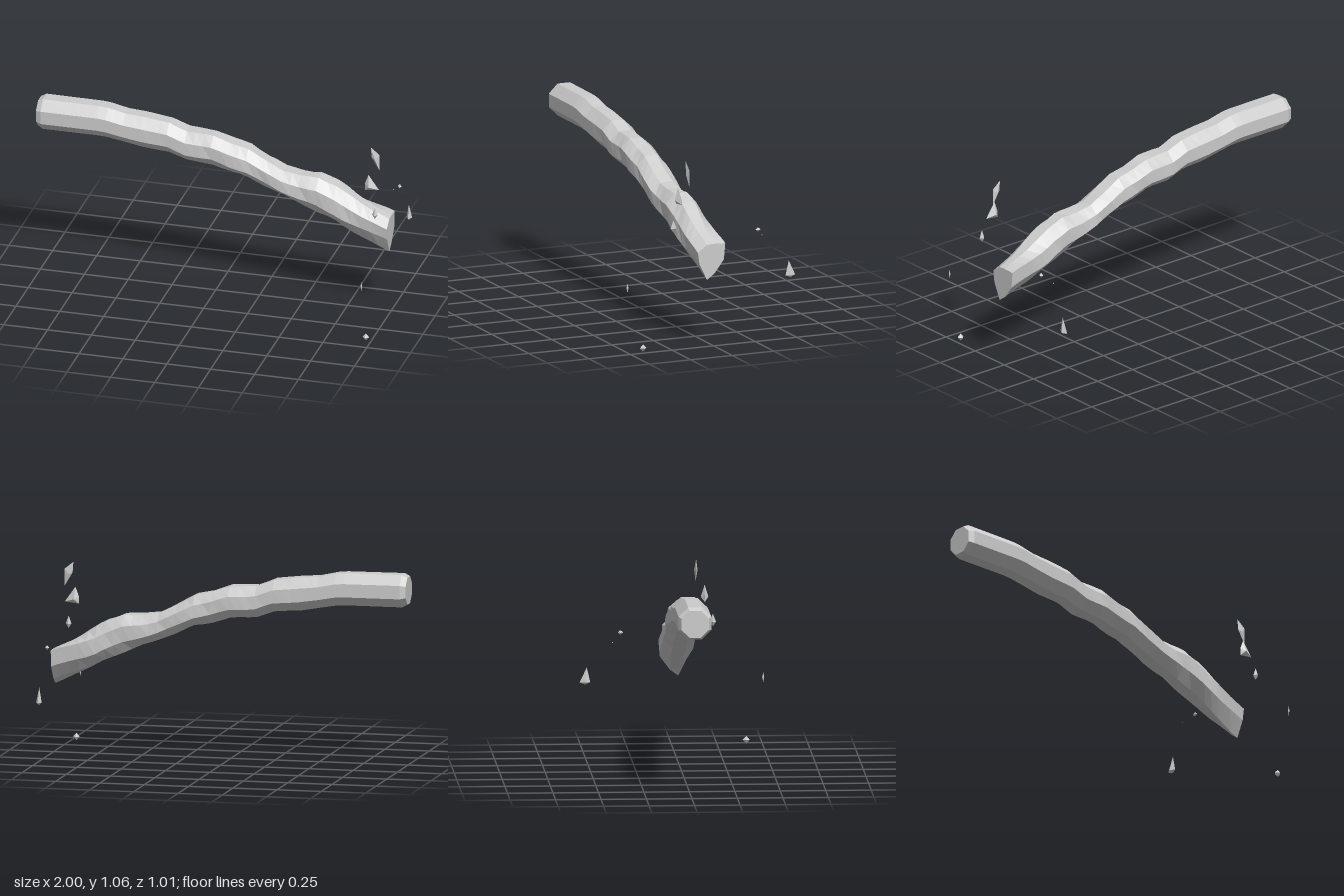
import * as THREE from 'three';
import { ConvexGeometry } from 'three/addons/geometries/ConvexGeometry.js';

const material = new THREE.MeshStandardMaterial({ color: 0xcccccc, flatShading: true });

// side profile of the bar: x, top, bottom
const PROFILE = [
  [-1, 1.045, 0.895], [-0.97, 1.06, 0.88], [-0.62, 1.058, 0.88], [-0.5, 1.032, 0.86],
  [-0.4, 1.025, 0.842], [-0.23, 1.005, 0.83], [-0.17, 0.97, 0.797], [0, 0.962, 0.785],
  [0.1, 0.93, 0.755], [0.2, 0.905, 0.735], [0.3, 0.85, 0.69], [0.4, 0.8, 0.65],
  [0.48, 0.785, 0.62], [0.6, 0.783, 0.57], [0.7, 0.745, 0.53], [0.8, 0.69, 0.475],
  [0.9, 0.625, 0.43], [0.97, 0.605, 0.375], [1, 0.58, 0.38],
];
// pointed broken end, as z, y around the ring
const TIP = [
  [0.095, 0.535], [0.04, 0.575], [0, 0.578], [-0.07, 0.575],
  [-0.062, 0.485], [-0.005, 0.41], [0.04, 0.378], [0.085, 0.47],
];
const SIDES = 8;

function profileAt(x) {
  let i = 0;
  while (i < PROFILE.length - 2 && x > PROFILE[i + 1][0]) i++;
  const [a, b] = [PROFILE[i], PROFILE[i + 1]];
  const t = (x - a[0]) / (b[0] - a[0]);
  return [a[1] + t * (b[1] - a[1]), a[2] + t * (b[2] - a[2])];
}

// octagonal bar whose faces grow rough and twisted toward the broken end
function barGeometry() {
  const xs = [-1, -0.97];
  for (let x = -0.8; x < 0.96; x += 0.05) xs.push(x);
  xs.push(0.97, 1);
  const pos = [], index = [];
  const r8 = 1 / Math.cos(Math.PI / SIDES);
  xs.forEach((x, i) => {
    const [top, bottom] = profileAt(x);
    const rough = THREE.MathUtils.smoothstep(x, -0.6, 0.3);
    const blend = THREE.MathUtils.smoothstep(x, 0.72, 1);
    const half = i === 0 ? 0.076 : 0.09;
    for (let j = 0; j < SIDES; j++) {
      const a = ((j + 0.5) / SIDES) * Math.PI * 2;
      const bump = 1 + 0.06 * rough * Math.sin(x * 23 + j * 2.4);
      let z = 0.018 + half * Math.min(1, r8 * Math.cos(a) * bump);
      z = Math.max(z, -0.072);
      let y = (top + bottom) / 2 + ((top - bottom) / 2) * r8 * Math.sin(a) * bump;
      y = THREE.MathUtils.clamp(y, bottom, top);
      // ease the ring into the pointed tip
      const tipY = TIP[j][1] + (1 - x) * 0.45;
      z += (TIP[j][0] - z) * blend;
      y += (tipY - y) * blend;
      pos.push(x, y, z);
    }
  });
  for (let i = 0; i < xs.length - 1; i++) {
    for (let j = 0; j < SIDES; j++) {
      const a = i * SIDES + j, b = i * SIDES + ((j + 1) % SIDES);
      index.push(a, a + SIDES, b, b, a + SIDES, b + SIDES);
    }
  }
  // end caps
  const last = (xs.length - 1) * SIDES;
  for (let j = 1; j < SIDES - 1; j++) {
    index.push(0, j, j + 1, last, last + j + 1, last + j);
  }
  const g = new THREE.BufferGeometry();
  g.setAttribute('position', new THREE.Float32BufferAttribute(pos, 3));
  g.setIndex(index);
  g.computeVertexNormals();
  return g;
}

// splinter: two points joined by a four-cornered waist
function splinter(x, z, low, waist, high, hx, hz, lean = 0) {
  return new ConvexGeometry([
    [x, low, z], [x, high, z + lean],
    [x + hx, waist, z], [x - hx, waist, z], [x, waist, z + hz], [x, waist, z - hz],
  ].map((p) => new THREE.Vector3(...p)));
}

// flat shard: outline in x, y with a thickness in z
function shard(outline, z, h) {
  const pts = [];
  const c = outline.reduce((s, p) => [s[0] + p[0] / outline.length, s[1] + p[1] / outline.length], [0, 0]);
  outline.forEach(([x, y]) => pts.push(new THREE.Vector3(x, y, z)));
  for (const s of [-h, h]) pts.push(new THREE.Vector3(c[0], c[1] - 0.01, z + s));
  return new ConvexGeometry(pts);
}

export function createModel() {
  const group = new THREE.Group();
  const add = (name, geometry) => {
    const mesh = new THREE.Mesh(geometry, material);
    mesh.name = name;
    group.add(mesh);
  };

  add('bar', barGeometry());

  // loose pieces around the broken end
  add('upperShard', shard([[0.92, 1.04], [0.97, 1.0], [0.97, 0.905], [0.925, 0.98]], 0.133, 0.01));
  add('middleShard', shard([[0.92, 0.895], [0.98, 0.81], [0.9, 0.8], [0.9, 0.84]], 0.18, 0.021));
  const splinters = [
    [0.97, 0.228, 0.655, 0.68, 0.725, 0.016, 0.018],
    [0.97, -0.28, 0.612, 0.625, 0.638, 0.012, 0.016],
    [0.92, -0.327, 0.574, 0.578, 0.582, 0.004, 0.004],
    [0.97, -0.475, 0.336, 0.35, 0.433, 0.016, 0.029, 0.01],
    [0.97, 0.505, 0.342, 0.37, 0.397, 0.005, 0.006],
    [0.97, 0.411, 0.002, 0.023, 0.044, 0.019, 0.02],
  ];
  splinters.forEach((s, i) => add(`splinter${i + 1}`, splinter(...s)));
  return group;
}
